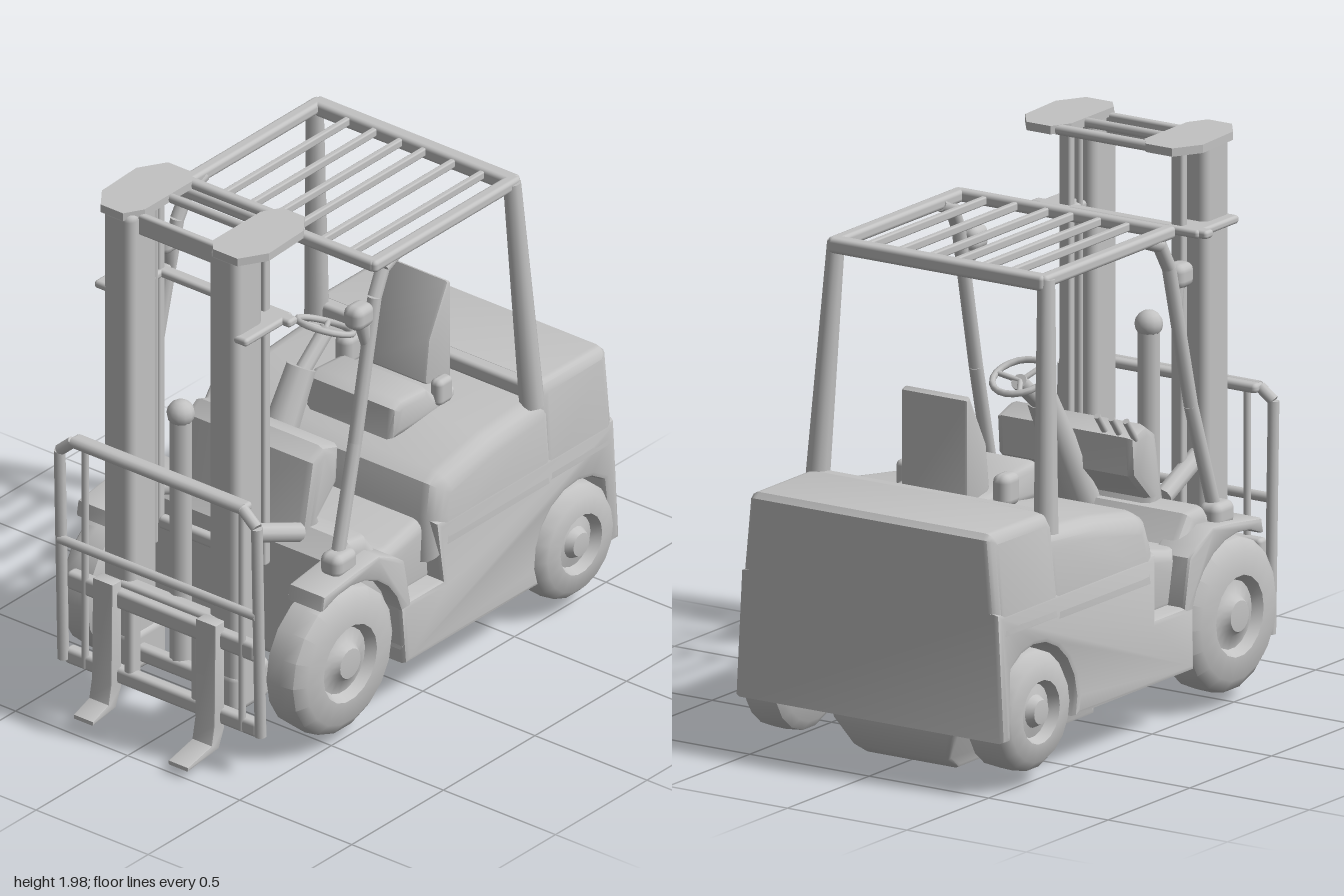
import * as THREE from 'three';
import { toCreasedNormals } from 'three/addons/utils/BufferGeometryUtils.js';
import { RoundedBoxGeometry } from 'three/addons/geometries/RoundedBoxGeometry.js';

const V = (x, y, z) => new THREE.Vector3(x, y, z);

export function createModel() {
  const model = new THREE.Group();
  model.name = 'forklift';
  const grey = new THREE.MeshStandardMaterial({ color: 0xc2c2c2 });
  grey.name = 'plain grey';

  const add = (name, geo, x = 0, y = 0, z = 0) => {
    const mesh = new THREE.Mesh(geo, grey);
    mesh.name = name;
    mesh.position.set(x, y, z);
    model.add(mesh);
    return mesh;
  };
  const box = (name, w, h, d, x, y, z, r = 0.015) =>
    add(name, new RoundedBoxGeometry(w, h, d, 2, r), x, y, z);
  // Round bar between two points, optionally tapered
  const bar = (name, a, b, r, r2 = r) => {
    const m = add(name, new THREE.CylinderGeometry(r2, r, a.distanceTo(b), 10));
    m.position.copy(a).lerp(b, 0.5);
    m.quaternion.setFromUnitVectors(V(0, 1, 0), b.clone().sub(a).normalize());
    return m;
  };
  const bars = (name, pts, r) => {
    for (let i = 1; i < pts.length; i++) bar(name, pts[i - 1], pts[i], r);
  };
  // Side profile in (z, y), extruded across x
  const sideGeo = (pts, width, bevel, segments = 2) => {
    const shape = new THREE.Shape(pts.map(([z, y]) => new THREE.Vector2(z, y)));
    const geo = new THREE.ExtrudeGeometry(shape, {
      depth: width - 2 * bevel, bevelEnabled: true, bevelSize: bevel,
      bevelThickness: bevel, bevelOffset: -bevel, bevelSegments: segments,
    });
    return geo.translate(0, 0, bevel - width / 2).rotateY(-Math.PI / 2);
  };
  const arc = (cz, cy, r, from, to, n) => Array.from({ length: n + 1 }, (_, i) => {
    const a = THREE.MathUtils.degToRad(from + (to - from) * i / n);
    return [cz + r * Math.cos(a), cy + r * Math.sin(a)];
  });
  // Scale the width of a part by a rule of height
  const widen = (geo, rule) => {
    const p = geo.attributes.position;
    for (let i = 0; i < p.count; i++) p.setX(i, p.getX(i) * rule(p.getY(i)));
    return toCreasedNormals(geo, 0.7);
  };
  // Body sides lean outwards towards the ground
  const lean = geo => widen(geo, y => y < 0.62 ? 1 + (0.62 - y) * 0.09 : 1 - (y - 0.62) * 0.2);

  // Lower body with wheel arches and side steps
  add('lowerBody', lean(sideGeo([
    [0.18, 0.43], [0.17, 0.2], [-0.56, 0.2], ...arc(-0.78, 0.27, 0.235, 0, 130, 7),
    [-0.95, 0.2], [-1, 0.2], [-1, 0.66], [-0.03, 0.66], [-0.05, 0.43],
  ], 1.09, 0.02)));
  // Rounded hood and counterweight
  add('hood', lean(sideGeo([
    [-0.01, 0.5], [-0.02, 0.68], [-0.05, 0.79], [-0.1, 0.82], [-0.35, 0.86], [-0.7, 0.885], [-0.7, 0.5],
  ], 1.09, 0.07, 4)));
  add('counterweight', lean(sideGeo([
    [-0.61, 0.54], [-0.62, 0.9], [-0.65, 0.94], [-0.98, 0.94], [-1, 0.92], [-1, 0.54],
  ], 1.09, 0.04, 4)));
  // Floor and front cowl
  add('floorCowl', toCreasedNormals(sideGeo([
    [-0.1, 0.4], [-0.1, 0.66], [0, 0.655], [0.15, 0.62], [0.2, 0.62], [0.27, 0.72],
    [0.36, 0.73], [0.43, 0.665], [0.44, 0.4],
  ], 0.96, 0.04, 3), 0.7));
  // Front fenders over the wheels
  for (const s of [1, -1]) {
    add('fender', toCreasedNormals(sideGeo([
      [0.6, 0.645], [0.61, 0.59], ...arc(0.46, 0.33, 0.295, 62, 195, 9), [0.12, 0.4],
      [0.16, 0.6], [0.2, 0.63], [0.3, 0.68], [0.42, 0.67],
    ], 0.16, 0.012), 0.7), s * 0.472);
  }
  box('chassisCore', 0.74, 0.42, 1.34, 0, 0.41, -0.25, 0.03);
  add('underpan', widen(sideGeo([
    [0.2, 0.24], [0.17, 0.19], [0.07, 0.18], [0.03, 0.14], [0.04, 0.08], [0.09, 0.03], [0.09, 0.005],
    [-0.74, 0], [-0.81, 0.04], [-0.86, 0.14], [-0.86, 0.24],
  ], 0.4, 0.015), y => 1 + Math.max(0, y - 0.04) * 2.5));

  // Wheels
  const wheel = (name, r, w, x, y, z) => {
    const h = w / 2;
    const pts = [[0, -h], [r * 0.82, -h], [r * 0.97, -h * 0.75], [r, 0], [r * 0.97, h * 0.6],
      [r * 0.82, h * 0.95], [r * 0.52, h], [r * 0.44, h * 0.6], [r * 0.27, h * 0.7],
      [r * 0.2, h], [0, h * 1.05]].map(q => new THREE.Vector2(...q));
    for (const s of [1, -1]) {
      const geo = new THREE.LatheGeometry(pts, 18).rotateZ(-s * Math.PI / 2);
      add(name, toCreasedNormals(geo, 0.8), s * x, y, z);
    }
  };
  wheel('frontWheel', 0.28, 0.175, 0.465, 0.325, 0.46);
  wheel('rearWheel', 0.218, 0.19, 0.475, 0.268, -0.78);

  // Seat, armrest and hood lever
  add('seatCushion', toCreasedNormals(sideGeo([
    [-0.15, 0.83], [-0.16, 0.95], [-0.2, 0.97], [-0.34, 0.96], [-0.38, 0.92], [-0.5, 0.9], [-0.5, 0.83],
  ], 0.4, 0.03), 0.8), 0.045);
  add('seatBack', toCreasedNormals(sideGeo([
    [-0.42, 0.92], [-0.44, 1.08], [-0.54, 1.27], [-0.56, 1.26], [-0.56, 0.88], [-0.46, 0.86],
  ], 0.28, 0.012), 0.6), 0.03);
  box('armrest', 0.07, 0.12, 0.1, -0.19, 0.93, -0.44, 0.03);
  box('seatLever', 0.05, 0.1, 0.08, 0.24, 0.92, -0.42, 0.02);

  // Dashboard, steering column and steering wheel
  add('dashboard', toCreasedNormals(sideGeo([
    [0.4, 0.67], [0.34, 0.97], [0.28, 1.01], [0.19, 0.98], [0.2, 0.84], [0.3, 0.74], [0.26, 0.64],
  ], 0.58, 0.03), 0.7));
  bar('columnBase', V(-0.01, 0.68, 0.29), V(-0.01, 1.12, 0.04), 0.075, 0.055);
  bar('steeringColumn', V(-0.01, 1.08, 0.06), V(-0.01, 1.21, -0.1), 0.03);
  const steering = add('steeringWheel', new THREE.TorusGeometry(0.1, 0.012, 8, 20), -0.01, 1.225, -0.09);
  steering.rotation.x = -Math.PI / 2 - 0.4;
  for (let i = 0; i < 3; i++) {
    const a = i * Math.PI * 2 / 3;
    const end = V(0.1 * Math.cos(a), 0.1 * Math.sin(a), 0).applyEuler(steering.rotation).add(steering.position);
    bar('steeringSpoke', V(-0.01, 1.21, -0.09), end, 0.01);
  }
  for (const x of [-0.16, -0.22, -0.28]) bar('controlLever', V(x, 0.97, 0.22), V(x, 1.05, 0.16), 0.012);
  bar('pedalArm', V(0.1, 0.85, 0.24), V(0.1, 0.72, 0.17), 0.012);

  // Overhead guard
  for (const s of [1, -1]) {
    bars('frontPillar', [V(s * 0.47, 0.66, 0.44), V(s * 0.45, 1.1, 0.31), V(s * 0.44, 1.62, 0.19),
      V(s * 0.435, 1.71, 0.14), V(s * 0.43, 1.74, 0.06)], 0.026);
    box('pillarFoot', 0.09, 0.09, 0.12, s * 0.475, 0.69, 0.43, 0.03);
    bar('rearPillar', V(s * 0.48, 0.86, -0.62), V(s * 0.44, 1.75, -0.56), 0.045, 0.032);
    box('roofSide', 0.05, 0.045, 0.8, s * 0.435, 1.745, -0.19);
    box('headlamp', 0.08, 0.09, 0.1, s * 0.43, 1.575, 0.265, 0.03);
    bar('lampStem', V(s * 0.43, 1.55, 0.25), V(s * 0.44, 1.44, 0.23), 0.03, 0.02);
  }
  box('roofFront', 0.9, 0.045, 0.045, 0, 1.745, 0.19);
  box('roofRear', 0.9, 0.055, 0.06, 0, 1.74, -0.57);
  for (const x of [-0.28, -0.16, -0.045, 0.06, 0.19, 0.32])
    box('roofSlat', 0.022, 0.03, 0.76, x, 1.745, -0.19, 0.006);
  box('guardBase', 0.96, 0.06, 0.06, 0, 0.91, -0.63);

  // Mast rails, plates and tilt cylinders
  const capShape = new THREE.Shape([[0.16, 0.73], [0.2, 0.78], [0.31, 0.78], [0.37, 0.68],
    [0.36, 0.48], [0.3, 0.4], [0.2, 0.4], [0.16, 0.47]].map(q => new THREE.Vector2(...q)));
  for (const s of [1, -1]) {
    box('mastRail', 0.13, 1.8, 0.155, s * 0.235, 1.07, 0.698, 0.03);
    box('innerRail', 0.05, 1.3, 0.035, s * 0.235, 1.3, 0.553, 0.01);
    bar('liftCylinder', V(s * 0.21, 0.6, 0.595), V(s * 0.21, 1.95, 0.595), 0.012);
    const cap = new THREE.ExtrudeGeometry(capShape, { depth: 0.03, bevelEnabled: false });
    cap.rotateX(Math.PI / 2);
    if (s < 0) cap.rotateY(Math.PI).translate(0, 0, 1.18);
    add('mastCap', cap, 0, 1.978, 0);
    bar('tiltCylinder', V(s * 0.25, 0.84, 0.7), V(s * 0.27, 0.72, 0.4), 0.035);
    box('mastFoot', 0.14, 0.16, 0.2, s * 0.23, 0.24, 0.68, 0.03);
    box('mastMidPlate', 0.14, 0.03, 0.26, s * 0.27, 1.645, 0.64, 0.012);
  }
  box('mastTopBeam', 0.42, 0.08, 0.03, 0, 1.92, 0.715, 0.01);
  box('mastTopRear', 0.42, 0.035, 0.04, 0, 1.96, 0.435);
  box('mastTopMiddle', 0.42, 0.035, 0.03, 0, 1.96, 0.565);
  box('mastMidBeam', 0.74, 0.03, 0.05, 0, 1.645, 0.545, 0.012);
  bar('centreCylinder', V(0, 0.24, 0.71), V(0, 1.25, 0.71), 0.04);
  add('cylinderCap', new THREE.SphereGeometry(0.05, 12, 8), 0, 1.23, 0.71);
  box('mastCrossBeam', 0.44, 0.11, 0.06, 0, 0.47, 0.76);
  box('mastFootBeam', 0.44, 0.06, 0.05, 0, 0.24, 0.73);
  box('mastRearBeam', 0.44, 0.05, 0.04, 0, 0.66, 0.55);

  // Load backrest
  const zb = 0.845;
  bars('backrestFrame', [V(-0.43, 0.16, zb - 0.02), V(-0.43, 0.99, zb), V(-0.38, 1.035, zb - 0.01),
    V(0.38, 1.035, zb - 0.01), V(0.45, 0.99, zb), V(0.45, 0.16, zb - 0.02)], 0.021);
  box('backrestTop', 0.78, 0.035, 0.06, 0, 1.035, zb - 0.025);
  bar('backrestRail', V(-0.43, 0.64, zb), V(0.45, 0.64, zb), 0.018);
  for (const x of [-0.34, 0.36]) bar('backrestPost', V(x, 0.15, zb - 0.03), V(x, 1.03, zb - 0.03), 0.013);
  box('carriageUpper', 0.84, 0.07, 0.05, 0, 0.47, 0.8);
  box('carriageLower', 0.86, 0.06, 0.05, 0, 0.17, 0.8);
  for (const s of [1, -1]) box('carriagePlate', 0.04, 0.34, 0.06, s * 0.15, 0.32, 0.79);

  // Forks
  for (const [x, tip] of [[0.225, 1], [-0.235, 0.955]]) {
    add('fork', toCreasedNormals(sideGeo([
      [0.8, 0.54], [0.85, 0.54], [0.855, 0.15], [0.87, 0.075], [tip, 0.045], [tip, 0.03],
      [0.83, 0.05], [0.8, 0.12],
    ], 0.09, 0.006), 0.6), x);
  }
  return model;
}
